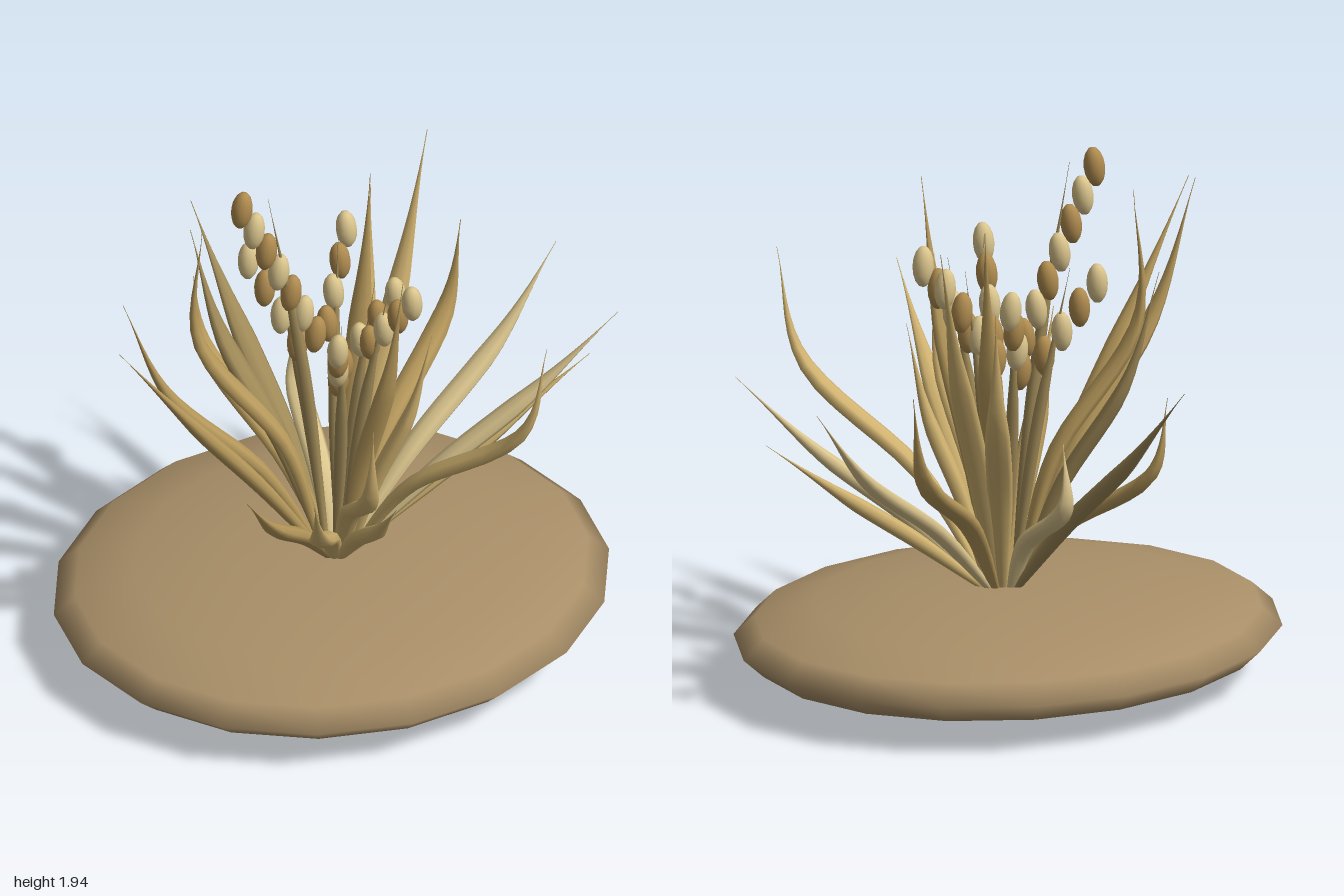
import * as THREE from 'three';
import { ParametricGeometry } from 'three/addons/geometries/ParametricGeometry.js';

const COLORS = [0xb89a5c, 0xd0b270, 0xa08a58, 0xdcc68e, 0xb08c50];
const materials = COLORS.map((color) => new THREE.MeshStandardMaterial({ color, side: THREE.DoubleSide }));

// Sweep a flattened, tapering leaf section along a curve.
function leafGeometry(curve, outward, width, thickness) {
  const side = new THREE.Vector3(outward.z, 0, -outward.x).normalize();
  const sweep = (u, v, target) => {
    const a = u * Math.PI * 2;
    const taper = Math.max(0.03, (0.5 + 1.05 * Math.sin(Math.PI * Math.min(1, v * 1.05))) * Math.min(1, (1 - v) * 2.6) / 1.5);
    const normal = curve.getTangent(v).cross(side).normalize();
    target.copy(curve.getPoint(v))
      .addScaledVector(side, Math.cos(a) * width * taper)
      .addScaledVector(normal, Math.sin(a) * thickness * taper);
  };
  return new ParametricGeometry(sweep, 8, 20);
}

// Leaf from the crown to its tip; curl swings the upper part outward so the tip turns up.
function makeLeaf([x, y, z, curl, color]) {
  const tip = new THREE.Vector3(x, y, z);
  const outward = new THREE.Vector3(x, 0, z + 0.04).normalize();
  const root = new THREE.Vector3(0, 0.33, -0.04).addScaledVector(outward, 0.05);
  const at = (r, h) => new THREE.Vector3(
    THREE.MathUtils.lerp(root.x, tip.x, r),
    THREE.MathUtils.lerp(root.y, tip.y, h),
    THREE.MathUtils.lerp(root.z, tip.z, r));
  const curve = new THREE.CatmullRomCurve3([root, at(0.31, 0.33), at(0.66 + 0.22 * curl, 0.66), tip]);
  const mesh = new THREE.Mesh(leafGeometry(curve, outward, 0.045, 0.028), materials[color]);
  mesh.name = 'leaf';
  return mesh;
}

// Stem with a row of seed grains leaning outward near its top.
function makeStalk({ tip, first, last, count }) {
  const stalk = new THREE.Group();
  stalk.name = 'seedStalk';
  const top = new THREE.Vector3(...tip);
  const root = new THREE.Vector3(top.x * 0.15, 0.33, -0.04 + top.z * 0.1);
  const bend = root.clone().lerp(top, 0.5);
  bend.x *= 0.8;
  const stem = new THREE.Mesh(
    leafGeometry(new THREE.CatmullRomCurve3([root, bend, top]), new THREE.Vector3(top.x, 0, top.z), 0.022, 0.022),
    materials[2]);
  stem.name = 'stem';
  stalk.add(stem);

  const start = new THREE.Vector3(...first);
  const end = new THREE.Vector3(...last);
  for (let i = 0; i < count; i++) {
    const grain = new THREE.Mesh(grainGeometry, materials[i % 2 ? 3 : 4]);
    grain.name = 'seedGrain';
    grain.position.lerpVectors(start, end, i / (count - 1));
    grain.rotation.set((end.z - start.z) * 0.5, 0, (start.x - end.x) * -0.5);
    stalk.add(grain);
  }
  return stalk;
}

const grainGeometry = new THREE.SphereGeometry(1, 12, 8).scale(0.038, 0.075, 0.038);

// Leaf tips: x, y, z, curl, colour index
const LEAVES = [
  [-0.22, 1.28, -0.95, 0.1, 2],
  [-0.31, 1.17, -0.67, 1.1, 0],
  [-0.40, 1.56, -0.45, 0.5, 2],
  [0.01, 1.00, -0.49, 1.7, 3],
  [0.30, 1.53, -0.52, 0.8, 1],
  [0.64, 1.28, -0.53, 1.0, 0],
  [0.49, 1.77, -0.46, 0.2, 1],
  [0.22, 1.76, -0.30, 0.3, 0],
  [0.94, 1.22, -0.37, 0.3, 3],
  [0.93, 1.00, 0.01, 0.0, 1],
  [1.00, 1.24, 0.11, 0.1, 3],
  [0.57, 1.52, 0.57, 1.0, 1],
  [0.30, 1.32, 0.12, 0.4, 1],
  [0.11, 1.77, 0.35, 0.4, 0],
  [-0.13, 1.26, 0.95, 0.1, 1],
  [-0.10, 1.37, 0.63, 1.0, 1],
  [-0.37, 1.20, 0.77, 0.4, 1],
  [-0.55, 1.12, 0.57, 0.2, 0],
  [-0.91, 1.64, 0.24, 0.0, 0],
  [-0.83, 1.70, 0.05, 0.5, 0],
  [-0.455, 1.78, -0.17, 1.7, 0],
];

const STALKS = [
  { tip: [-0.23, 1.90, -0.11], first: [-0.06, 1.27, -0.09], last: [-0.325, 1.87, -0.12], count: 7 },
  { tip: [-0.17, 1.55, -0.22], first: [-0.11, 1.21, -0.14], last: [-0.24, 1.50, -0.29], count: 4 },
  { tip: [0.10, 1.53, -0.30], first: [0.03, 1.20, -0.22], last: [0.155, 1.48, -0.37], count: 4 },
  { tip: [0.15, 1.55, 0.09], first: [0.10, 1.28, 0.03], last: [0.215, 1.51, 0.15], count: 4 },
  { tip: [0.13, 1.52, 0.00], first: [0.015, 1.18, -0.015], last: [0.20, 1.46, 0.02], count: 4 },
  { tip: [-0.08, 1.55, 0.24], first: [-0.05, 1.22, 0.12], last: [-0.12, 1.50, 0.31], count: 4 },
];

export function createModel() {
  const model = new THREE.Group();
  model.name = 'grassTuft';

  // Flattened mound of soil
  const mound = new THREE.Mesh(
    new THREE.SphereGeometry(1, 18, 8).rotateY(Math.PI / 2).scale(1, 0.182, 0.865),
    new THREE.MeshStandardMaterial({ color: 0xa98f68 }));
  mound.name = 'mound';
  mound.position.set(-0.015, 0.184, -0.05);
  model.add(mound);

  // Spray of leaves
  const leaves = new THREE.Group();
  leaves.name = 'leaves';
  LEAVES.forEach((leaf) => leaves.add(makeLeaf(leaf)));
  model.add(leaves);

  // Seed heads
  STALKS.forEach((stalk) => model.add(makeStalk(stalk)));
  return model;
}
